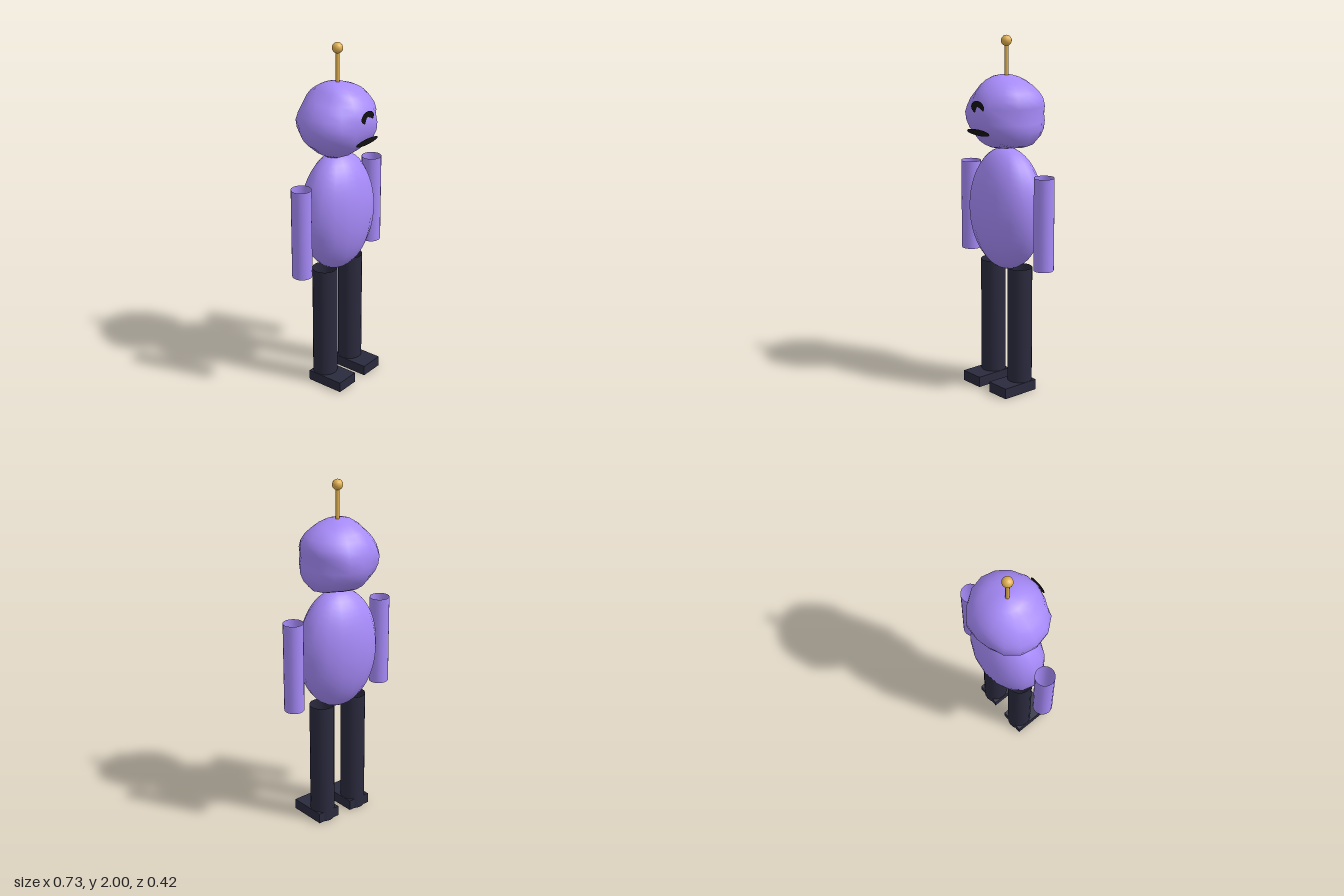
import * as THREE from 'three';

const paint = (color) => new THREE.MeshStandardMaterial({ color, side: THREE.DoubleSide });

// Head outline radii around the z axis, one every 22.5 degrees from +x
const OUTLINE = [.206, .226, .213, .201, .206, .211, .2, .217, .238, .234, .216, .219, .2, .2, .237, .229];
const HEAD_R = 0.21;

// Lumpy sphere: the outline fades to a round front and back
function headGeometry() {
  const geo = new THREE.SphereGeometry(HEAD_R, 16, 16);
  const p = geo.attributes.position;
  const n = new THREE.Vector3();
  for (let i = 0; i < p.count; i++) {
    n.fromBufferAttribute(p, i).normalize();
    const t = ((Math.atan2(n.y, n.x) / (Math.PI * 2) + 1) % 1) * 16;
    const k = Math.floor(t);
    const r = THREE.MathUtils.lerp(OUTLINE[k % 16], OUTLINE[(k + 1) % 16], t - k);
    const side = n.x * n.x + n.y * n.y;
    const lump = 0.07 * Math.sin(5 * n.x) * n.z * n.z * Math.exp(-(((n.y + 0.05) / 0.25) ** 2));
    n.multiplyScalar(HEAD_R * (1 + side * (r / HEAD_R - 1) + lump));
    p.setXYZ(i, n.x, n.y, n.z);
  }
  geo.computeVertexNormals();
  // Make normals agree across the sphere's seam
  const nor = geo.attributes.normal;
  for (let row = 0; row <= 16; row++) {
    const a = row * 17, b = a + 16;
    n.set(nor.getX(a) + nor.getX(b), nor.getY(a) + nor.getY(b), nor.getZ(a) + nor.getZ(b)).normalize();
    nor.setXYZ(a, n.x, n.y, n.z);
    nor.setXYZ(b, n.x, n.y, n.z);
  }
  return geo;
}

export function createModel() {
  const model = new THREE.Group();
  const skin = paint(0xa78bfa);
  const dark = paint(0x2a2a3e);
  const black = paint(0x111111);
  const gold = paint(0xe0b050);

  const add = (name, geo, mat, x, y, z) => {
    const mesh = new THREE.Mesh(geo, mat);
    mesh.name = name;
    mesh.position.set(x, y, z);
    model.add(mesh);
    return mesh;
  };

  // Body and head
  add('body', new THREE.SphereGeometry(1, 16, 24), skin, 0, 1.04, 0).scale.set(0.248, 0.347, 0.173);
  add('head', headGeometry(), skin, 0, 1.58, 0);

  // Flat face parts
  add('eye', new THREE.CircleGeometry(1, 24), black, 0, 1.627, 0.203).scale.set(0.054, 0.035, 1);
  add('mouth', new THREE.CircleGeometry(1, 24), black, 0, 1.49, 0.2).scale.set(0.095, 0.017, 1);

  // Antenna
  add('antennaStem', new THREE.CylinderGeometry(0.0115, 0.0115, 0.18, 10), gold, 0, 1.865, 0);
  add('antennaBall', new THREE.SphereGeometry(0.03, 12, 10), gold, 0, 1.97, 0);

  // Open tube limbs and block feet
  for (const [label, s] of [['left', 1], ['right', -1]]) {
    add(label + 'Arm', new THREE.CylinderGeometry(0.056, 0.056, 0.515, 20, 1, true), skin, s * 0.311, 1.008, 0);
    add(label + 'Leg', new THREE.CylinderGeometry(0.07, 0.07, 0.725, 20, 1, true), dark, s * 0.115, 0.3625, 0);
    add(label + 'Foot', new THREE.BoxGeometry(0.142, 0.06, 0.225), dark, s * 0.115, 0.03, 0.0525);
  }
  return model;
}
